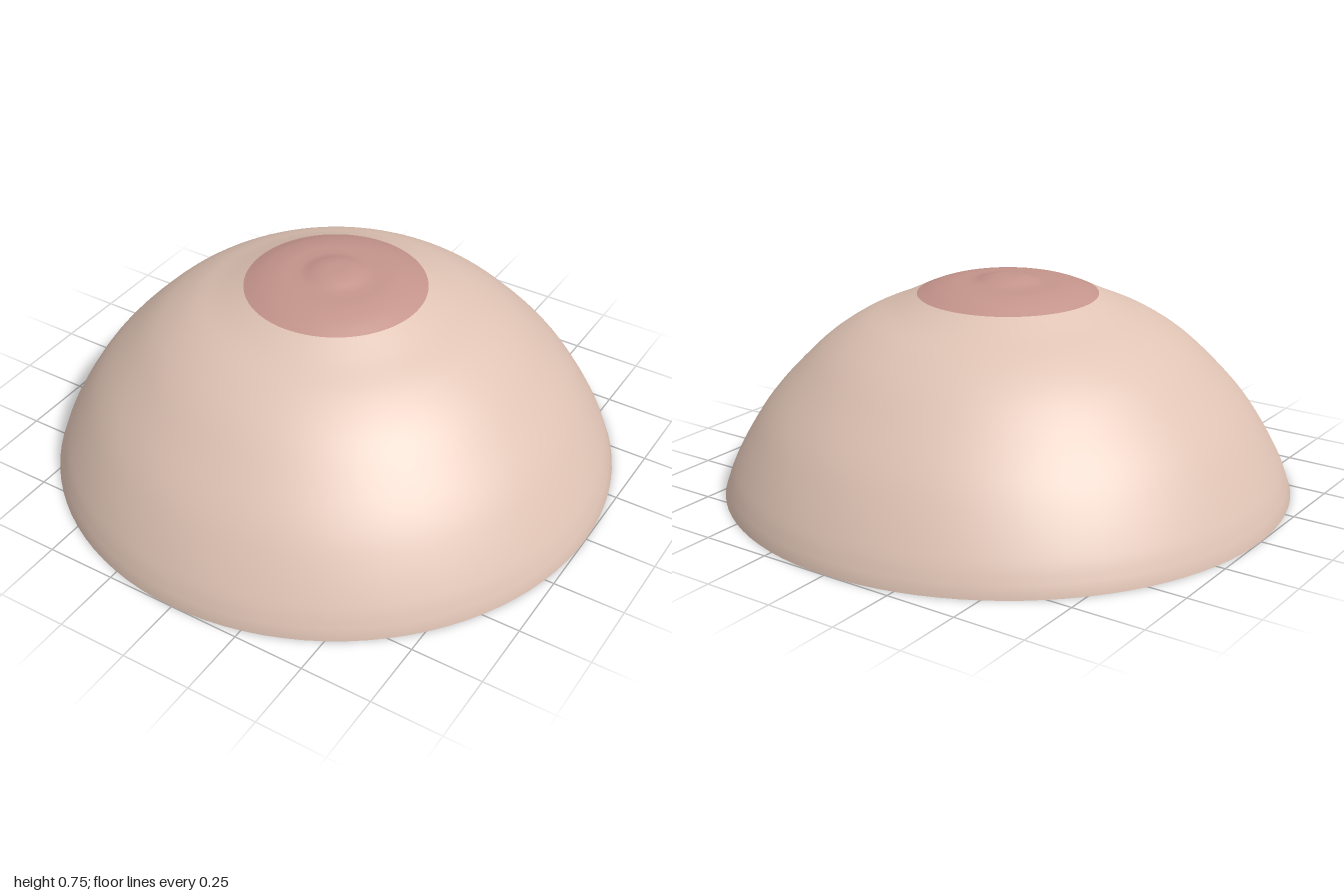
import * as THREE from 'three';

const material = (name, color) => {
  const m = new THREE.MeshStandardMaterial({ color });
  m.name = name;
  return m;
};

// Smooth profile through [radius, height] pairs
const smoothProfile = (pairs, steps) =>
  new THREE.SplineCurve(pairs.map(([r, y]) => new THREE.Vector2(r, y)))
    .getPoints(steps)
    .map((p) => new THREE.Vector2(Math.max(p.x, 0), p.y));

function turned(name, points, mat) {
  const mesh = new THREE.Mesh(new THREE.LatheGeometry(points, 96), mat);
  mesh.name = name;
  return mesh;
}

export function createModel() {
  const skin = material('skin', 0xe0c4b5);
  const rose = material('rose', 0xc4948b);
  const group = new THREE.Group();
  group.name = 'dome';

  // Flat underside joined to the domed wall with a soft rim
  const wall = smoothProfile([
    [0.986, 0.04], [0.962, 0.1], [0.908, 0.2], [0.842, 0.3], [0.755, 0.4],
    [0.64, 0.51], [0.52, 0.59], [0.4, 0.645], [0.315, 0.686],
  ], 40);
  const base = [[0, 0], [0.992, 0], [1, 0]].map(([r, y]) => new THREE.Vector2(r, y));
  group.add(turned('body', [...base, ...wall], skin));

  // Raised darker cap with a small rounded tip
  const cap = smoothProfile([
    [0.315, 0.686], [0.26, 0.708], [0.2, 0.722], [0.14, 0.727],
    [0.11, 0.731], [0.075, 0.742], [0.04, 0.748], [0, 0.749],
  ], 32);
  group.add(turned('cap', cap, rose));

  return group;
}
